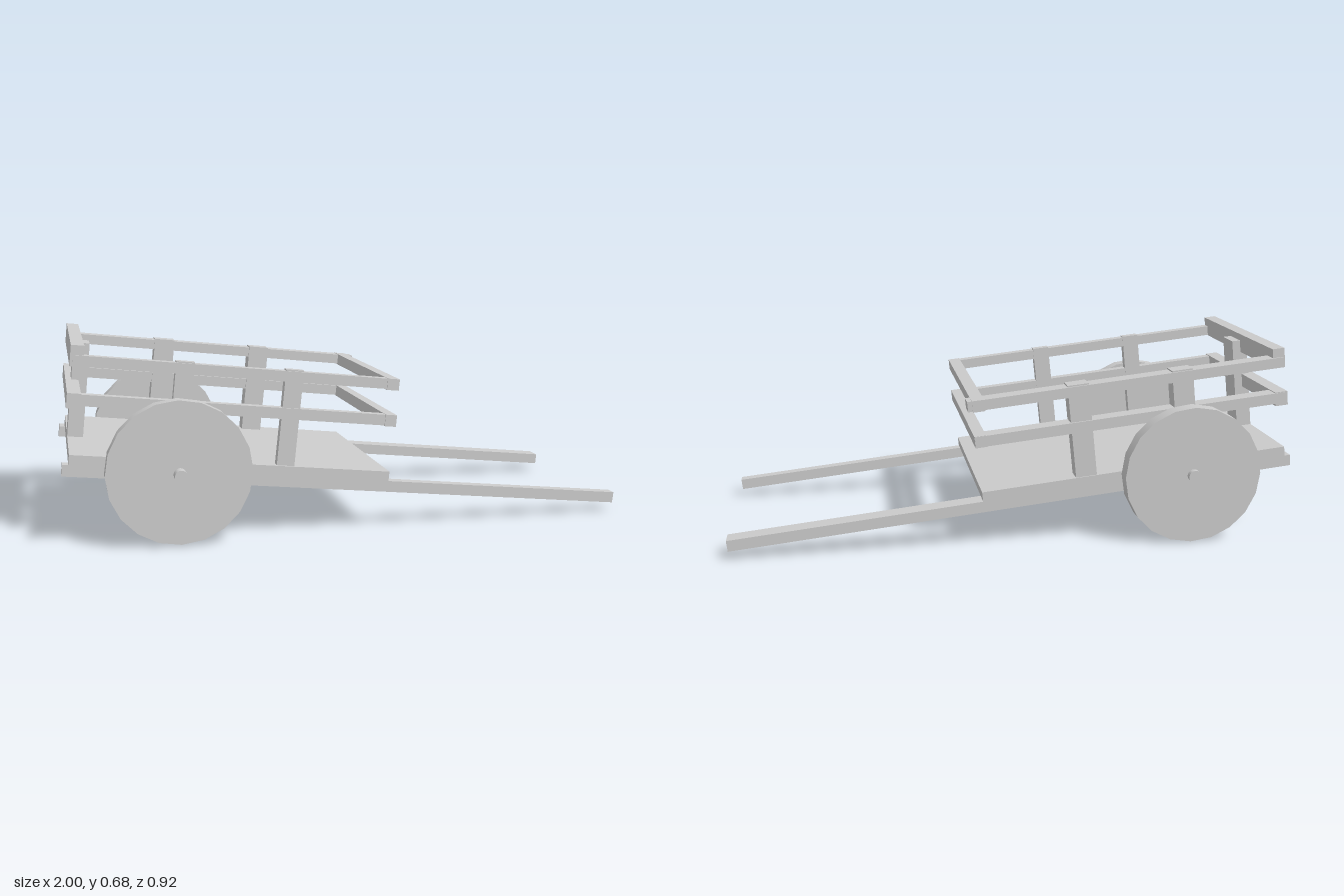
import * as THREE from 'three';

const material = new THREE.MeshStandardMaterial({ color: 0xcccccc });

export function createModel() {
  const cart = new THREE.Group();
  cart.name = 'handcart';

  // The timber frame leans forward onto its shafts
  const frame = new THREE.Group();
  frame.name = 'frame';
  frame.rotation.z = -0.109;
  cart.add(frame);

  // Box beam given by its limits along the cart, upward and across
  const beam = (name, [x0, x1], [y0, y1], [z0, z1]) => {
    const mesh = new THREE.Mesh(new THREE.BoxGeometry(x1 - x0, y1 - y0, z1 - z0), material);
    mesh.name = name;
    mesh.position.set((x0 + x1) / 2, (y0 + y1) / 2, (z0 + z1) / 2);
    frame.add(mesh);
  };

  // Deck
  beam('deck', [-1.0, 0.102], [0.178, 0.212], [-0.38, 0.365]);

  // Each side: shaft, two rails and two posts; the right-hand timbers are thinner
  const sides = [
    { name: 'left', shaft: [-0.38, -0.313], rail: [-0.382, -0.32], post: [-0.375, -0.315], width: 0.075, end: 0.117 },
    { name: 'right', shaft: [0.325, 0.365], rail: [0.325, 0.362], post: [0.323, 0.355], width: 0.062, end: 0.1 },
  ];
  for (const s of sides) {
    beam(s.name + 'Shaft', [-1.02, 0.988], [0.139, 0.178], s.shaft);
    beam(s.name + 'MiddleRail', [-1.015, 0.105], [0.375, 0.413], s.rail);
    beam(s.name + 'TopRail', [-1.01, s.end], [0.504, 0.54], s.rail);
    for (const x of [-0.645, -0.272]) {
      beam(s.name + 'Post', [x - s.width / 2, x + s.width / 2], [0.212, 0.545], s.post);
    }
  }

  // Cross bars at both ends and the tailboard post
  beam('frontMiddleBar', [0.065, 0.106], [0.373, 0.414], [-0.38, 0.365]);
  beam('frontTopBar', [0.058, 0.101], [0.501, 0.541], [-0.385, 0.365]);
  beam('backMiddleBar', [-1.02, -0.975], [0.366, 0.416], [-0.38, 0.365]);
  beam('backTopBar', [-1.018, -0.975], [0.502, 0.572], [-0.375, 0.355]);
  beam('backPost', [-1.0, -0.945], [0.212, 0.547], [-0.05, 0.05]);

  // Wheels and axle
  const disc = (name, radius, y, z0, z1) => {
    const mesh = new THREE.Mesh(new THREE.CylinderGeometry(radius, radius, z1 - z0, 20), material);
    mesh.name = name;
    mesh.rotation.x = Math.PI / 2;
    mesh.position.set(-0.617, y, (z0 + z1) / 2);
    cart.add(mesh);
  };
  disc('rightWheel', 0.245, 0.25, 0.373, 0.422);
  disc('leftWheel', 0.245, 0.245, -0.44, -0.382);
  disc('axle', 0.022, 0.246, -0.46, 0.46);

  return cart;
}
